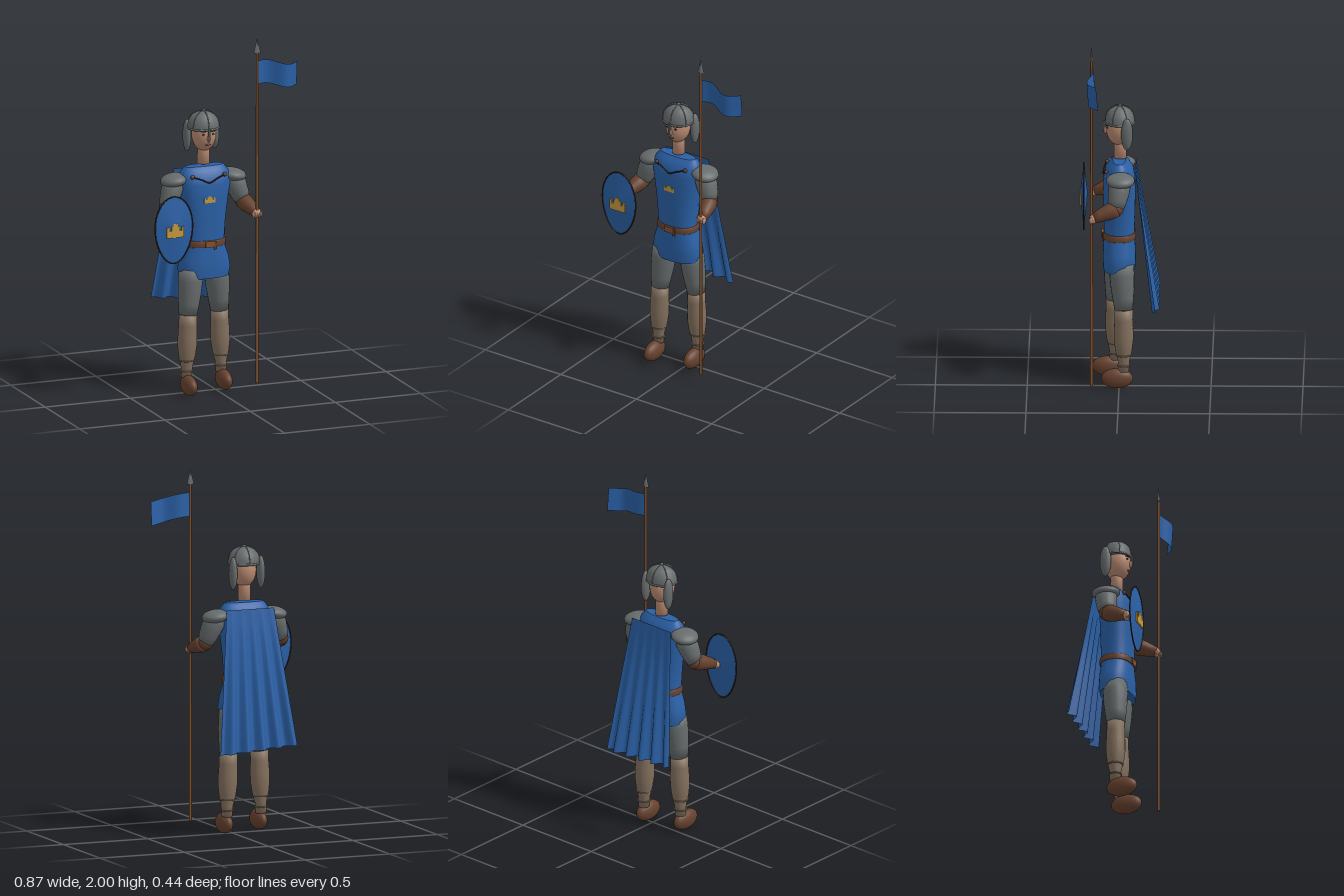
import * as THREE from 'three';

const CX = -0.07; // centre line of the figure

export function createModel() {
  const model = new THREE.Group();
  const mat = (name, color, side = THREE.FrontSide) => {
    const m = new THREE.MeshStandardMaterial({ color, side });
    m.name = name;
    return m;
  };
  const blue = mat('blue cloth', 0x2a60a6, THREE.DoubleSide);
  const steel = mat('grey steel', 0x666b6c);
  const leather = mat('brown leather', 0x66412e);
  const wood = mat('wood', 0x85532f);
  const tan = mat('tan hose', 0x83705e);
  const skin = mat('skin', 0xb98a72);
  const gold = mat('gold', 0xc79a3c);
  const dark = mat('dark trim', 0x33241c);
  const lips = mat('lips', 0x8c4a42);

  const add = (name, geo, material, x = 0, y = 0, z = 0, parent = model) => {
    const m = new THREE.Mesh(geo, material);
    m.name = name;
    m.position.set(x, y, z);
    parent.add(m);
    return m;
  };
  const ball = (name, material, x, y, z, rx, ry, rz) => {
    const m = add(name, new THREE.SphereGeometry(1, 24, 16), material, x, y, z);
    m.scale.set(rx, ry, rz);
    return m;
  };
  const V = (x, y, z) => new THREE.Vector3(x, y, z);

  // Round limb from a to b; radii are evenly spaced along its length
  const limb = (name, material, a, b, radii) => {
    const len = a.distanceTo(b), n = radii.length - 1;
    const pts = [new THREE.Vector2(0, 0)];
    radii.forEach((r, i) => pts.push(new THREE.Vector2(r, (len * i) / n)));
    pts.push(new THREE.Vector2(0, len));
    const m = add(name, new THREE.LatheGeometry(pts, 20), material, a.x, a.y, a.z);
    m.quaternion.setFromUnitVectors(V(0, 1, 0), b.clone().sub(a).normalize());
    return m;
  };

  // Stack of rounded cross-sections [y, halfWidth, halfDepth], bottom to top
  const loft = (name, material, rows, power, z) => {
    const n = rows.length - 1;
    const g = new THREE.CylinderGeometry(1, 1, 1, 40, n, false, Math.PI);
    const p = g.attributes.position;
    const bend = (c) => Math.sign(c) * Math.abs(c) ** power;
    for (let i = 0; i < p.count; i++) {
      const [y, rx, rz] = rows[Math.round((p.getY(i) + 0.5) * n)];
      p.setXYZ(i, bend(p.getX(i)) * rx, y, bend(p.getZ(i)) * rz);
    }
    g.computeVertexNormals();
    return add(name, g, material, CX, 0, z);
  };

  // Tunic and belt
  loft('tunic', blue, [
    [0.655, 0.138, 0.086], [0.7, 0.148, 0.09], [0.76, 0.138, 0.089], [0.82, 0.118, 0.085],
    [0.87, 0.112, 0.083], [0.98, 0.12, 0.086], [1.1, 0.136, 0.088], [1.18, 0.15, 0.086],
    [1.225, 0.147, 0.076], [1.255, 0.13, 0.055], [1.275, 0.112, 0.035],
  ], 0.85, 0);
  loft('belt', leather, [
    [0.832, 0.117, 0.088], [0.838, 0.121, 0.092], [0.862, 0.119, 0.091], [0.868, 0.113, 0.086],
  ], 0.85, 0);
  add('buckle', new THREE.BoxGeometry(0.05, 0.034, 0.012), wood, CX, 0.85, 0.09);
  add('beltEnd', new THREE.BoxGeometry(0.016, 0.045, 0.008), leather, CX + 0.032, 0.842, 0.091);

  // Cape clasps and cord
  const cord = new THREE.CatmullRomCurve3([
    V(CX - 0.094, 1.23, 0.072), V(CX - 0.045, 1.214, 0.083),
    V(CX, 1.195, 0.088), V(CX + 0.045, 1.214, 0.083), V(CX + 0.094, 1.23, 0.072),
  ]);
  add('capeCord', new THREE.TubeGeometry(cord, 24, 0.004, 6), dark);
  for (const s of [-1, 1]) ball('capeClasp', leather, CX + s * 0.094, 1.23, 0.07, 0.012, 0.012, 0.009);

  // Cape: folds deepen towards the hem
  const cape = new THREE.PlaneGeometry(1, 1, 80, 10);
  const cp = cape.attributes.position;
  for (let i = 0; i < cp.count; i++) {
    const u = cp.getX(i) + 0.5, t = 0.5 - cp.getY(i);
    const fold = Math.cos((u * 5 - 0.25) * Math.PI * 2) * t;
    const x = THREE.MathUtils.lerp(-0.21 + 0.28 * u, -0.3 + 0.455 * u, t);
    const y = THREE.MathUtils.lerp(1.245, 0.5 - 0.035 * u, t);
    cp.setXYZ(i, x, y, -0.088 - 0.112 * t - 0.02 * fold);
  }
  cape.computeVertexNormals();
  add('cape', cape, blue);

  // Arms
  for (const s of [-1, 1]) {
    const side = s > 0 ? 'left' : 'right';
    const at = (x, y, z) => V(CX + s * x, y, z);
    const shoulder = at(0.165, 1.21, -0.01), elbow = at(0.222, 1.06, 0.015), wrist = at(0.253, 1.015, 0.135);
    limb(side + 'UpperArm', steel, elbow, shoulder, [0.042, 0.052, 0.058, 0.06, 0.05]);
    const pad = ball(side + 'ShoulderPlate', steel, CX + s * 0.172, 1.205, -0.008, 0.075, 0.036, 0.078);
    pad.rotation.z = -s * 0.15;
    ball(side + 'Elbow', leather, elbow.x, elbow.y, elbow.z, 0.045, 0.042, 0.042);
    limb(side + 'Forearm', leather, elbow, wrist, [0.045, 0.046, 0.041, 0.034, 0.028]);
    ball(side + 'Hand', skin, CX + s * 0.253, 1.012, 0.14, 0.028, 0.028, 0.02);
    for (let f = 0; f < 4; f++) {
      ball(side + 'Finger', skin, CX + s * (0.232 + f * 0.014), 1.008, 0.15, 0.008, 0.018, 0.012);
    }
  }

  // Legs, the right one a little forward
  for (const s of [-1, 1]) {
    const side = s > 0 ? 'left' : 'right';
    const step = s > 0 ? -0.025 : 0.025;
    const hip = V(CX + s * 0.078, 0.7, step * 0.5);
    const knee = V(CX + s * 0.102, 0.45, step);
    const ankle = V(CX + s * 0.112, 0.1, step);
    limb(side + 'Thigh', steel, knee, hip, [0.051, 0.058, 0.065, 0.068, 0.066]);
    limb(side + 'Shin', tan, ankle, knee, [0.03, 0.032, 0.046, 0.053, 0.053, 0.05, 0.05]);
    for (const y of [0.135, 0.195]) {
      const wrap = add(side + 'AnkleWrap', new THREE.TorusGeometry(0.034 + (y - 0.135) * 0.12, 0.004, 6, 20), tan, ankle.x, y, step);
      wrap.rotation.x = Math.PI / 2;
    }
    ball(side + 'Shoe', leather, CX + s * 0.113, 0.06, step * 1.05 + 0.037, 0.039, 0.056, 0.087);
  }

  // Neck, head and face
  limb('neck', skin, V(CX, 1.285, -0.005), V(CX, 1.42, -0.005), [0.035, 0.033, 0.036]);
  ball('head', skin, CX, 1.452, 0, 0.067, 0.096, 0.073);
  for (const s of [-1, 1]) {
    ball('eye', dark, CX + s * 0.027, 1.462, 0.065, 0.01, 0.005, 0.004);
    const brow = add('brow', new THREE.BoxGeometry(0.026, 0.004, 0.006), dark, CX + s * 0.028, 1.477, 0.065);
    brow.rotation.y = s * 0.4;
    ball('cheekGuard', steel, CX + s * 0.082, 1.44, -0.042, 0.022, 0.09, 0.032);
  }
  ball('nose', skin, CX, 1.44, 0.074, 0.009, 0.02, 0.012);
  ball('mouth', lips, CX, 1.402, 0.062, 0.017, 0.005, 0.004);

  // Helmet with rim, ridges, nose guard and finial
  const dome = [[0.089, 0], [0.088, 0.025], [0.08, 0.056], [0.06, 0.08], [0.032, 0.094], [0, 0.1]];
  const helmet = add('helmet', new THREE.LatheGeometry(dome.map(([r, y]) => new THREE.Vector2(r, y)), 32), steel, CX, 1.482, -0.003);
  helmet.scale.z = 0.9;
  const inner = add('helmetUnderside', new THREE.CircleGeometry(0.088, 32), steel, CX, 1.484, -0.003);
  inner.rotation.x = Math.PI / 2;
  inner.scale.y = 0.9;
  const rim = add('helmetRim', new THREE.TorusGeometry(0.086, 0.006, 8, 32), steel, CX, 1.487, -0.003);
  rim.rotation.x = Math.PI / 2;
  rim.scale.y = 0.92;
  const ridge = new THREE.CatmullRomCurve3(dome.map(([r, y]) => V(r, y, 0)));
  for (let i = 0; i < 6; i++) {
    const rib = add('helmetRidge', new THREE.TubeGeometry(ridge, 12, 0.003, 5), steel, 0, 0, 0, helmet);
    rib.rotation.y = (i / 6) * Math.PI * 2 + Math.PI / 6;
  }
  ball('helmetTop', steel, CX, 1.582, -0.003, 0.01, 0.007, 0.01);
  add('noseGuard', new THREE.BoxGeometry(0.011, 0.065, 0.01), steel, CX, 1.462, 0.083);

  // Shield: shallow cone on both sides, longer below
  const egg = (x, y) => [x * 0.11 * (y < 0 ? 1 - 0.1 * y * y : 1), y * (y < 0 ? 0.205 : 0.17)];
  const shield = new THREE.Group();
  shield.name = 'shield';
  shield.position.set(-0.325, 0.998, 0.197);
  model.add(shield);
  for (const s of [1, -1]) {
    const g = new THREE.ConeGeometry(1, 1, 40, 6, true);
    g.rotateX(s * Math.PI / 2);
    const p = g.attributes.position;
    for (let i = 0; i < p.count; i++) {
      const x = p.getX(i), y = p.getY(i), r = Math.hypot(x, y);
      const [ex, ey] = r > 0.001 ? egg(x / r, y / r) : [0, 0];
      p.setXYZ(i, ex * r, ey * r, s * (1 - r) * 0.021);
    }
    g.computeVertexNormals();
    add(s > 0 ? 'shieldFront' : 'shieldBack', g, blue, 0, 0, 0, shield);
  }
  const outline = [];
  for (let i = 0; i < 40; i++) {
    const a = (i / 40) * Math.PI * 2;
    outline.push(V(...egg(Math.cos(a), Math.sin(a)), 0));
  }
  add('shieldRim', new THREE.TubeGeometry(new THREE.CatmullRomCurve3(outline, true), 80, 0.004, 6, true), dark, 0, 0, 0, shield);

  // Gold battlement emblem on shield and chest
  const half = [[0.5, -0.5], [0.5, 0.25], [0.36, 0.25], [0.36, 0], [0.22, 0], [0.22, 0.3], [0.12, 0.3], [0.12, 0.5]];
  const points = [...half, ...half.map(([x, y]) => [-x, y]).reverse()].map(([x, y]) => new THREE.Vector2(x, y));
  const emblem = (name, w, h, x, y, z) => {
    const g = new THREE.ExtrudeGeometry(new THREE.Shape(points), { depth: 0.008, bevelEnabled: false });
    g.scale(w, h, 1);
    add(name, g, gold, x, y, z);
  };
  emblem('shieldEmblem', 0.1, 0.078, -0.323, 0.982, 0.211);
  emblem('chestEmblem', 0.066, 0.036, CX, 1.1, 0.082);

  // Spear with pennant
  const SX = 0.183, SZ = 0.148;
  add('spearShaft', new THREE.CylinderGeometry(0.007, 0.008, 1.87, 12), wood, SX, 0.995, SZ);
  const tip = add('spearTip', new THREE.ConeGeometry(0.022, 0.085, 4), steel, SX, 1.9575, SZ);
  tip.scale.z = 0.4;
  const flag = new THREE.PlaneGeometry(1, 1, 32, 4);
  const fp = flag.attributes.position;
  for (let i = 0; i < fp.count; i++) {
    const u = fp.getX(i) + 0.5, v = fp.getY(i);
    const wave = Math.sin(u * Math.PI * 2);
    fp.setXYZ(i, SX + 0.247 * u, 1.803 - 0.03 * u + 0.008 * wave + v * 0.132,
      SZ - 0.022 * Math.sin(u * Math.PI * 2.3) * (0.6 + 0.6 * u) - 0.012 * u ** 4 + 0.012 * v * u);
  }
  flag.computeVertexNormals();
  add('pennant', flag, blue);

  return model;
}
